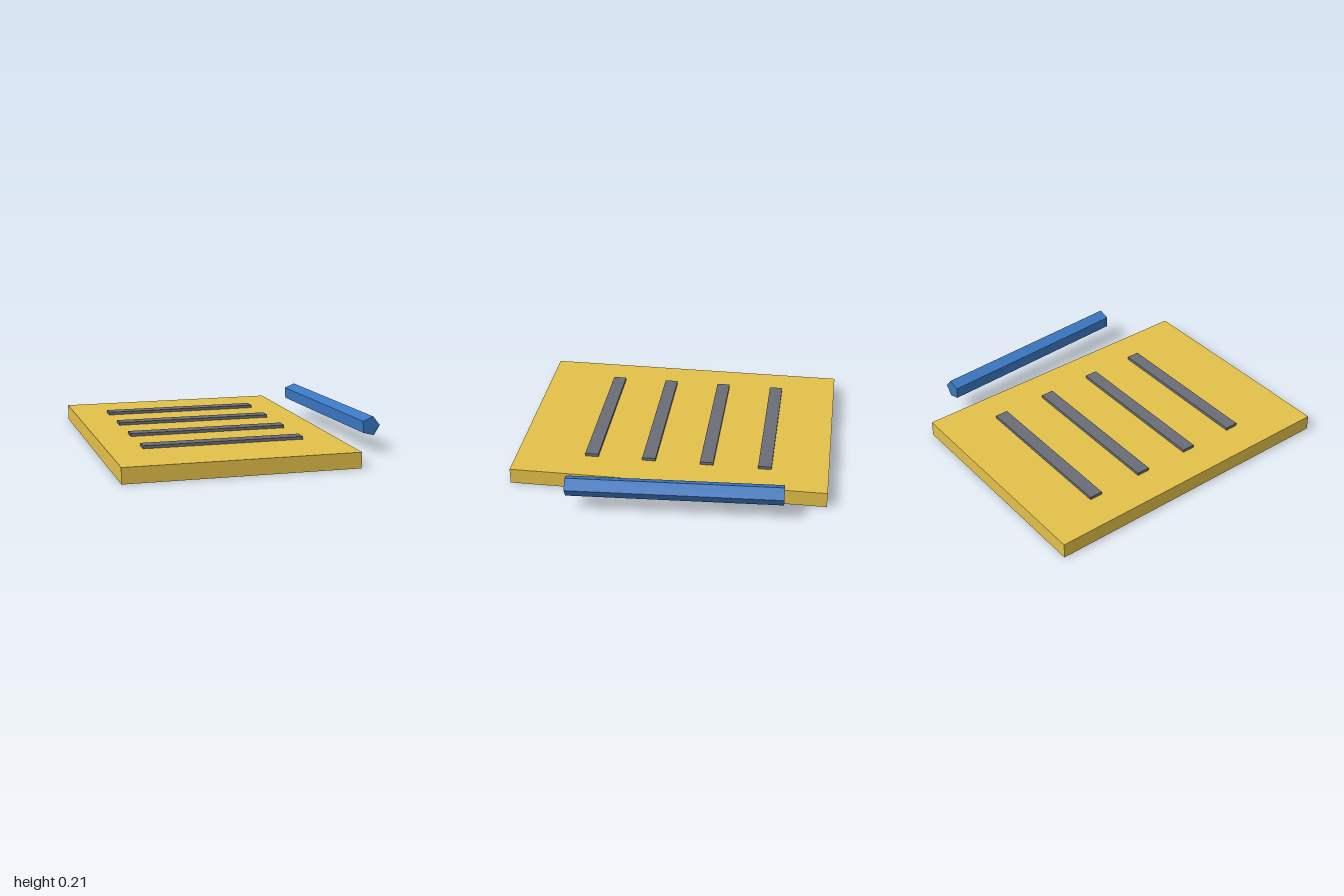
import * as THREE from 'three';

const RAD = Math.PI / 180;

export function createModel() {
  const model = new THREE.Group();
  model.name = 'notepadAndPencil';
  const paint = (color) => new THREE.MeshStandardMaterial({ color, flatShading: true });
  const yellow = paint(0xe3c04a), grey = paint(0x6a6d76), blue = paint(0x3a78c2);

  const add = (parent, name, geometry, material, x, y, z) => {
    const mesh = new THREE.Mesh(geometry, material);
    mesh.name = name;
    mesh.position.set(x, y, z);
    parent.add(mesh);
    return mesh;
  };

  // Notepad, turned slightly on the ground
  const notepad = new THREE.Group();
  notepad.name = 'notepad';
  notepad.position.x = -0.098;
  notepad.rotation.y = 10 * RAD;
  model.add(notepad);
  const padHeight = 0.09;
  add(notepad, 'pad', new THREE.BoxGeometry(1.327, padHeight, 1.797), yellow, 0, padHeight / 2, 0);

  // Raised writing lines, set a little towards the back
  const lineGeometry = new THREE.BoxGeometry(0.929, 0.017, 0.077);
  for (let i = 0; i < 4; i++) {
    add(notepad, `writingLine${i + 1}`, lineGeometry, grey, 0, padHeight + 0.0085, -0.536 + i * 0.333);
  }

  // Five-sided pencil beside the pad, lying along z before its turn
  const pencilGeometry = new THREE.CylinderGeometry(0.058, 0.058, 1.197, 5, 1, false, 93 * RAD);
  pencilGeometry.rotateX(90 * RAD);
  const pencil = add(model, 'pencil', pencilGeometry, blue, 0.709, 0.149, -0.212);
  pencil.rotation.y = 13.3 * RAD;

  return model;
}
